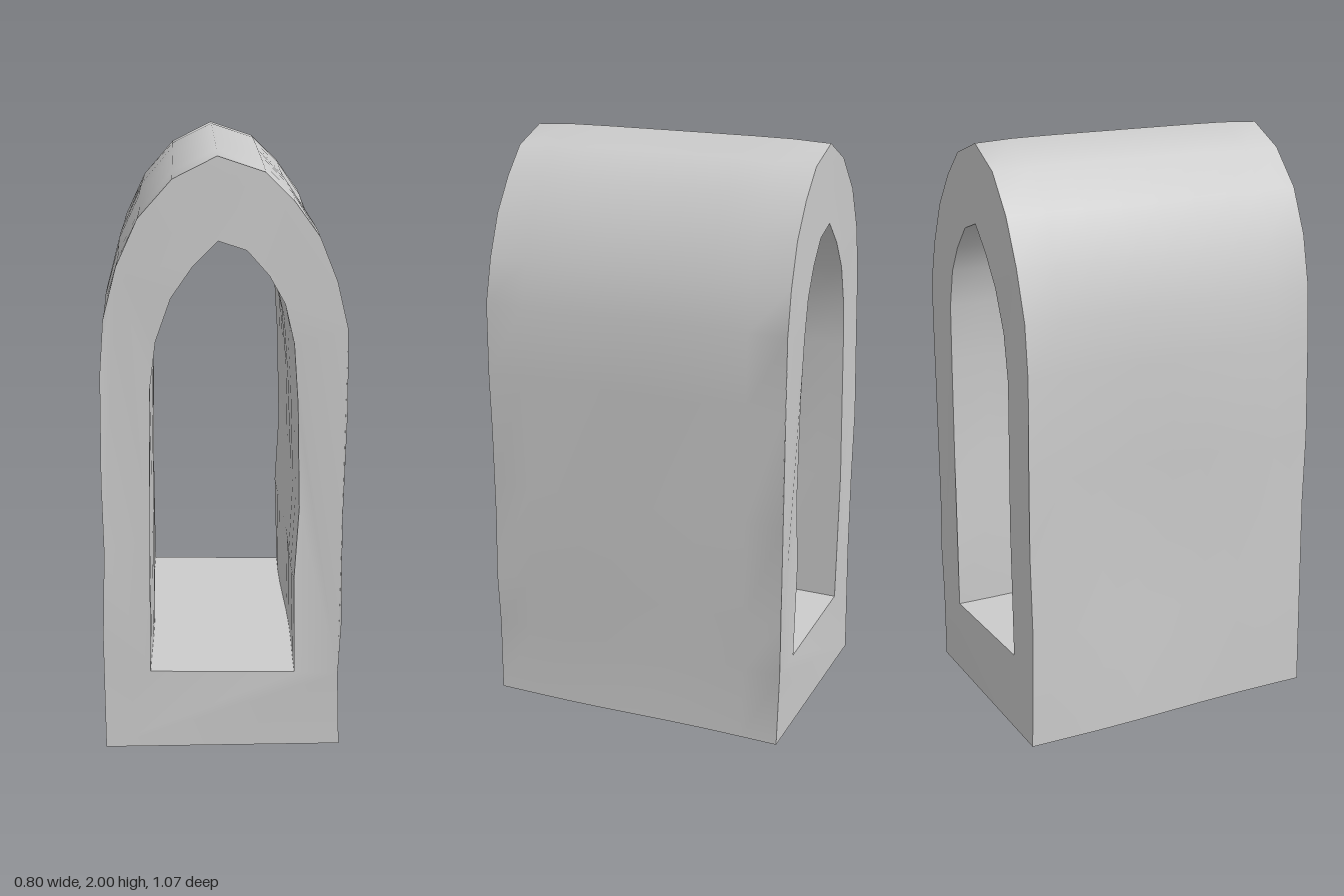
import * as THREE from 'three';
import { toCreasedNormals } from 'three/addons/utils/BufferGeometryUtils.js';

const toPoints = (list) => list.map(([x, y]) => new THREE.Vector2(x, y));

export function createModel() {
  const group = new THREE.Group();
  group.name = 'archBlock';
  const halfDepth = 0.535;

  // Outer outline: upright sides rising into a slightly pointed arch
  const shape = new THREE.Shape(toPoints([
    [-0.395, 0], [0, 0], [0.395, 0], [0.388, 0.26], [0.397, 0.45], [0.39, 0.8], [0.395, 1.2],
    [0.39, 1.45], [0.355, 1.6], [0.3, 1.74], [0.22, 1.86], [0.13, 1.95], [-0.02, 2],
    [-0.16, 1.93], [-0.27, 1.8], [-0.34, 1.65], [-0.385, 1.48], [-0.398, 1.3],
    [-0.398, 0.95], [-0.39, 0.7], [-0.397, 0.4],
  ]));

  // Pointed opening running right through
  shape.holes.push(new THREE.Path(toPoints([
    [-0.24, 0.275], [-0.24, 0.75], [-0.24, 1.25], [-0.22, 1.41], [-0.17, 1.55], [-0.1, 1.65],
    [-0.02, 1.73], [0.07, 1.7], [0.14, 1.62], [0.19, 1.53], [0.22, 1.4], [0.235, 1.2],
    [0.247, 0.85], [0.235, 0.6], [0.242, 0.268],
  ])));

  const geometry = new THREE.ExtrudeGeometry(shape, {
    depth: halfDepth * 2, steps: 8, bevelEnabled: false,
  });
  geometry.translate(0, 0, -halfDepth);

  // Gentle hand-worked waviness on the side walls and end faces
  const p = geometry.attributes.position;
  for (let i = 0; i < p.count; i++) {
    const x = p.getX(i), y = p.getY(i), z = p.getZ(i);
    const end = Math.abs(z) / halfDepth;
    p.setX(i, x + 0.004 * Math.sin(z * 7 + y * 3) * (y < 1.9 ? 1 : 0));
    p.setZ(i, z * (1 - 0.006 * end * (1 + Math.sin(y * 7 + x * 4))));
    if (y > 1.8) p.setY(i, y - 0.008 * end ** 6);
  }

  const body = new THREE.Mesh(
    toCreasedNormals(geometry, THREE.MathUtils.degToRad(55)),
    new THREE.MeshStandardMaterial({ color: 0xcccccc }),
  );
  body.name = 'archedTunnel';
  group.add(body);
  return group;
}
